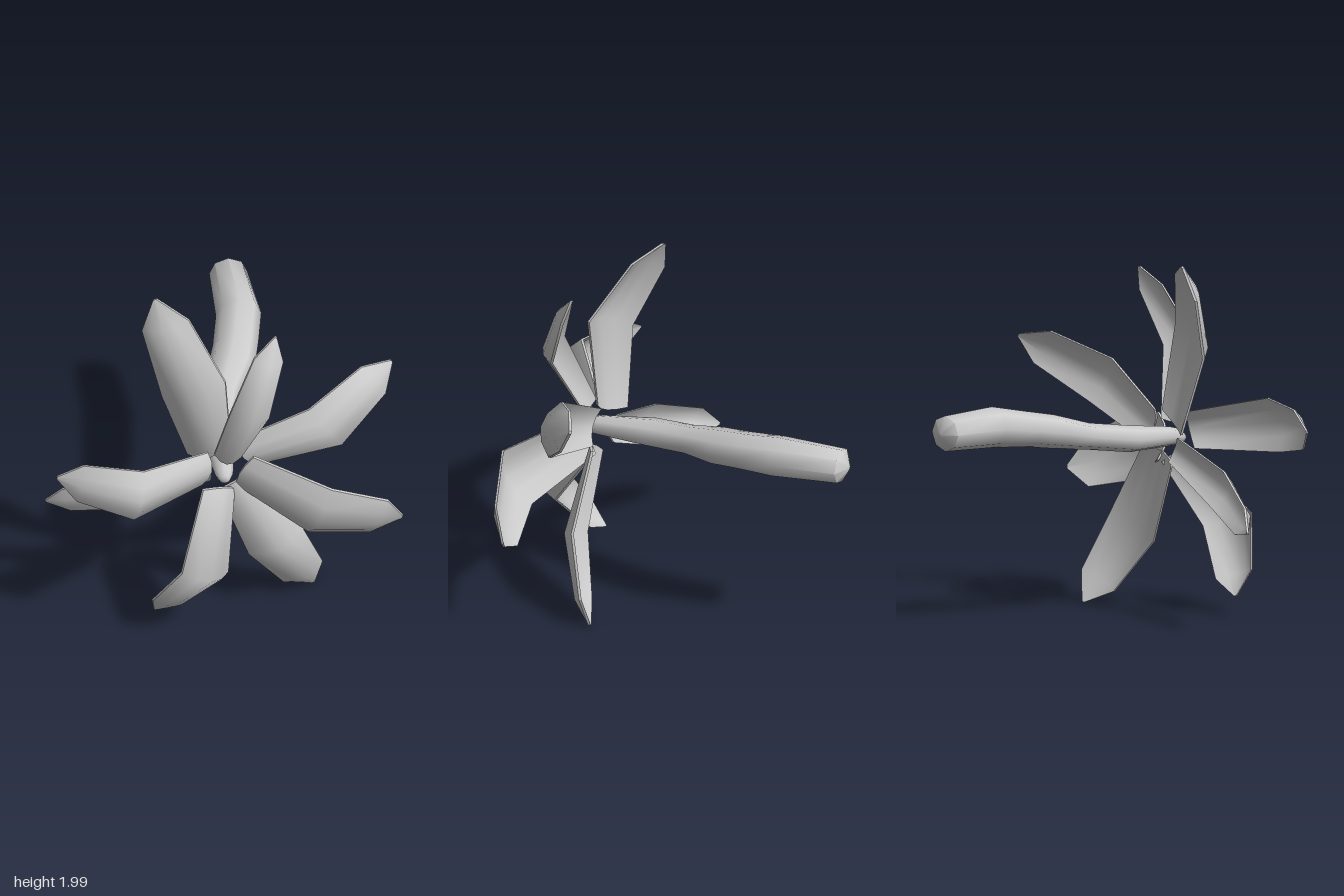
import * as THREE from 'three';
import { mergeGeometries, toCreasedNormals } from 'three/addons/utils/BufferGeometryUtils.js';

const material = new THREE.MeshStandardMaterial({ color: 0xcccccc });
const V = (a) => new THREE.Vector3(...a);

// Surface over equal-length rows of points, facing columns x rows
function grid(rows, crease) {
  const n = rows[0].length;
  const index = [];
  for (let i = 0; i < rows.length - 1; i++) {
    for (let j = 0; j < n - 1; j++) {
      const a = i * n + j;
      index.push(a, a + 1, a + n, a + 1, a + n + 1, a + n);
    }
  }
  const geometry = new THREE.BufferGeometry().setFromPoints(rows.flat());
  geometry.setIndex(index);
  return toCreasedNormals(geometry, crease);
}

// Closed loop around the border of a sheet of rows
function border(rows) {
  const last = rows.length - 1;
  return [
    ...rows[0],
    ...rows.slice(1, last).map((r) => r[r.length - 1]),
    ...[...rows[last]].reverse(),
    ...rows.slice(0, last).reverse().map((r) => r[0]),
  ];
}

// Thin cupped petal: base, knee and tip centres plus half-width vector at the knee
function petalGeometry(base, knee, tip, half) {
  const [B, K, T, S] = [base, knee, tip, half].map(V);
  const along = T.clone().sub(B).normalize();
  const normal = S.clone().cross(along).normalize();
  if (normal.z < 0) { S.negate(); normal.negate(); }
  const shoulder = K.clone().lerp(T, 0.72).addScaledVector(normal, 0.04);
  // centre, width factor, depth of the cup at the edges, bulge of the base edge
  const rows = [[B, 0.68, 0.03, -0.035], [K, 1, 0.08, 0], [shoulder, 0.74, 0.055, 0], [T, 0.05, 0, 0]];
  const sheet = (depth) => rows.map(([centre, width, cup, bulge]) => [-1, -0.5, 0, 0.5, 1].map((u) => centre.clone()
    .addScaledVector(S, u * width)
    .addScaledVector(along, bulge * (1 - u * u))
    .addScaledVector(normal, -cup * u * u - depth)));
  const front = sheet(0);
  const back = sheet(0.015);
  return mergeGeometries([
    grid(front, Math.PI),
    grid(back.map((r) => [...r].reverse()), Math.PI),
    grid([border(back), border(front)], 0.5),
  ]);
}

// Base, knee, tip, half-width
const frontPetals = [
  [[0.01, 1.08, 0.66], [0.12, 1.47, 0.866], [0.275, 1.89, 0.635], [0.11, -0.03, -0.01]],
  [[-0.12, 1.02, 0.68], [-0.51, 1.07, 0.99], [-0.955, 1.09, 0.74], [0.03, 0.15, -0.02]],
  [[-0.03, 0.85, 0.66], [-0.12, 0.48, 0.98], [-0.405, 0.11, 0.72], [0.135, -0.045, -0.055]],
  [[0.1, 0.95, 0.65], [0.48, 0.82, 0.945], [0.965, 0.67, 0.755], [0.06, 0.185, 0.06]],
];
const backPetals = [
  [[-0.1, 1.07, 0.57], [-0.21, 1.54, 0.665], [-0.37, 1.99, 0.35], [0.17, 0.08, 0.06]],
  [[-0.12, 0.91, 0.56], [-0.54, 0.735, 0.555], [-0.97, 0.57, 0.27], [-0.05, 0.105, 0]],
  [[0.07, 0.85, 0.6], [0.29, 0.43, 0.665], [0.505, 0.005, 0.43], [0.15, 0.07, -0.02]],
  [[0.13, 1.04, 0.58], [0.57, 1.235, 0.69], [0.95, 1.46, 0.36], [-0.09, 0.13, 0]],
];

// Wavy stem: x, y, z, x radius, y radius
const stemRings = [
  [-0.015, 0.96, 0.69, 0, 0],
  [-0.015, 0.96, 0.685, 0.03, 0.025],
  [-0.015, 0.968, 0.645, 0.05, 0.045],
  [-0.015, 0.975, 0.58, 0.06, 0.055],
  [-0.017, 0.995, 0.27, 0.098, 0.075],
  [0.04, 1.03, 0.02, 0.102, 0.075],
  [0.112, 1.07, -0.18, 0.133, 0.095],
  [0.157, 1.1, -0.36, 0.128, 0.1],
  [0.197, 1.13, -0.58, 0.127, 0.115],
  [0.18, 1.137, -0.955, 0.106, 0.1],
  [0.18, 1.135, -1, 0.015, 0.015],
  [0.18, 1.135, -1, 0, 0],
];

export function createModel() {
  const group = new THREE.Group();
  const add = (name, geometry) => {
    const mesh = new THREE.Mesh(geometry, material);
    mesh.name = name;
    group.add(mesh);
  };

  frontPetals.forEach((p, i) => add(`frontPetal${i + 1}`, petalGeometry(...p)));
  backPetals.forEach((p, i) => add(`backPetal${i + 1}`, petalGeometry(...p)));

  // Eight-sided stem running back from the flower's heart
  const rings = stemRings.map(([x, y, z, rx, ry]) => Array.from({ length: 9 }, (_, j) => {
    const a = ((j % 8) / 8) * Math.PI * 2;
    return new THREE.Vector3(x + rx * Math.cos(a), y - ry * Math.sin(a), z);
  }));
  add('stem', grid(rings, 1.1));

  return group;
}
